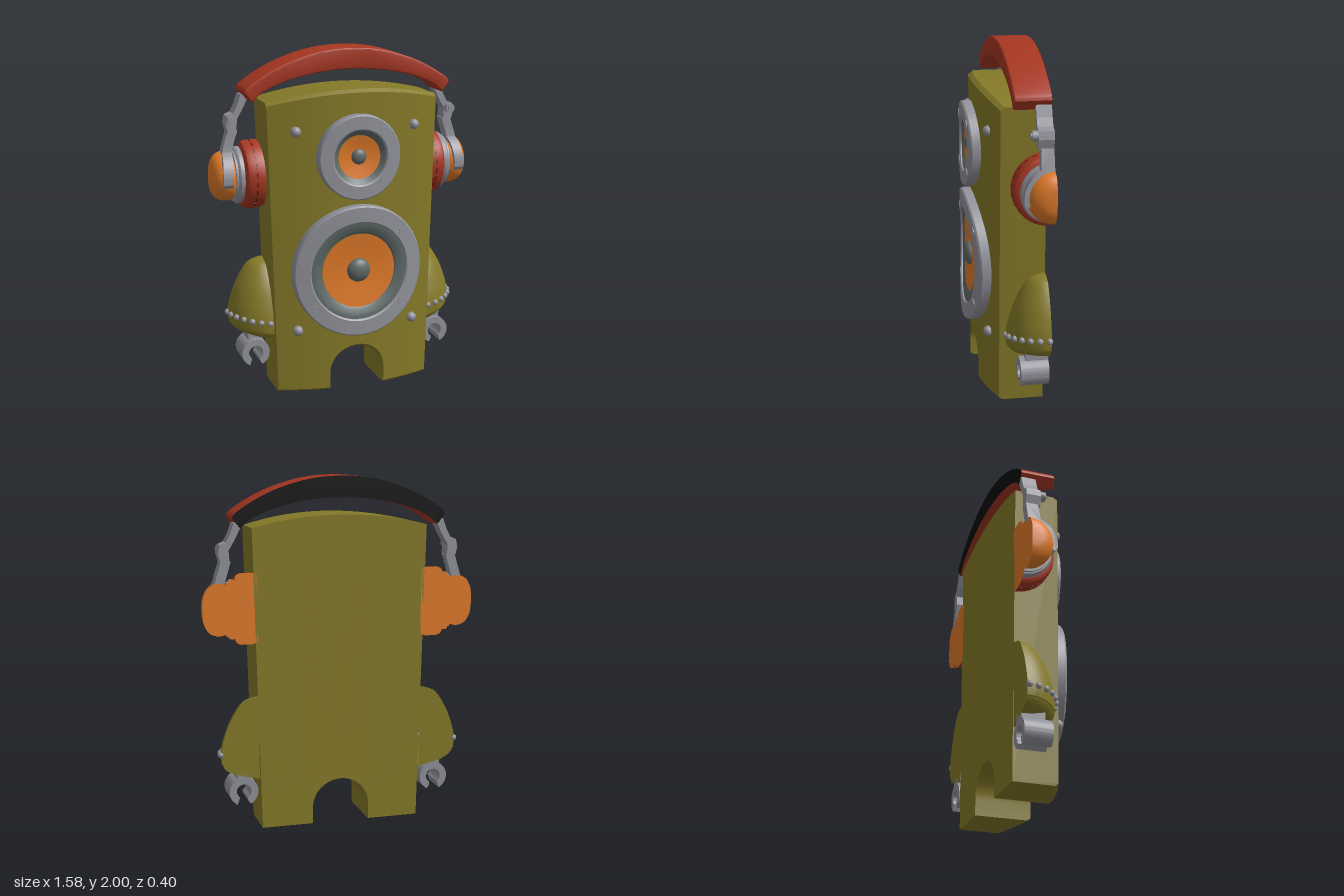
import * as THREE from 'three';
import { toCreasedNormals } from 'three/addons/utils/BufferGeometryUtils.js';

const BACK = -0.2; // flat back plane
const mat = (color) => new THREE.MeshStandardMaterial({ color, side: THREE.DoubleSide });
const V = (list) => list.map(([x, y]) => new THREE.Vector2(x, y));
const curve = (list, n = 24) => new THREE.SplineCurve(V(list)).getPoints(n);

function add(parent, name, geometry, material, x = 0, y = 0, z = 0) {
  const mesh = new THREE.Mesh(geometry, material);
  mesh.name = name;
  mesh.position.set(x, y, z);
  parent.add(mesh);
  return mesh;
}

// Move every vertex by a rule
function warp(geometry, rule) {
  const p = geometry.attributes.position, v = new THREE.Vector3();
  for (let i = 0; i < p.count; i++) {
    rule(v.fromBufferAttribute(p, i));
    p.setXYZ(i, v.x, v.y, v.z);
  }
  geometry.computeVertexNormals();
  return toCreasedNormals(geometry, 0.5);
}

// The front of the cabinet and everything on it bows back towards the sides
const bow = (x) => -0.34 * x * x;
const bend = (v) => { v.z += bow(v.x); };

// Cabinet: upright cross-sections lofted from one side to the other, with a leg arch
function cabinetGeometry() {
  const half = 0.465, arch = 0.167, columns = [];
  for (let i = 0; i <= 10; i++) columns.push([-half + (half - arch) * i / 10, 0]);
  for (let i = 0; i <= 24; i++) {
    const a = Math.PI * (1 - i / 24);
    columns.push([arch * Math.cos(a), 0.09 + arch * Math.sin(a)]);
  }
  for (let i = 0; i <= 10; i++) columns.push([arch + (half - arch) * i / 10, 0]);
  const pos = [], idx = [], n = 6;
  for (const [u, y0] of columns) {
    const y1 = 1.785 - 0.065 * (u / half) ** 2, zf = 0.14 + bow(u * 1.08);
    const loop = [[y0, BACK], [y0, zf - 0.02], [y0 + 0.015, zf], [y1 - 0.018, zf], [y1, zf - 0.025], [y1, BACK]];
    for (const [y, z] of loop) pos.push(u * (1 + 0.0968 * y / 1.72), y, z);
  }
  const last = (columns.length - 1) * n;
  for (let i = 0; i < last; i += n) {
    for (let j = 0; j < n; j++) {
      const k = (j + 1) % n;
      idx.push(i + j, i + n + j, i + n + k, i + j, i + n + k, i + k);
    }
  }
  for (let j = 1; j < n - 1; j++) idx.push(0, j, j + 1, last, last + j + 1, last + j);
  const g = new THREE.BufferGeometry();
  g.setAttribute('position', new THREE.Float32BufferAttribute(pos, 3));
  g.setIndex(idx);
  return toCreasedNormals(g, 0.5);
}

// Disc-like profile turned about the z axis, then bowed with the cabinet
function turned(points, segments = 72) {
  return warp(new THREE.LatheGeometry(points, segments).rotateX(Math.PI / 2), bend);
}

function extrude(points, depth) {
  return new THREE.ExtrudeGeometry(new THREE.Shape(points), { depth, bevelEnabled: false });
}

export function createModel() {
  const olive = mat(0x857a28), orange = mat(0xe07a28), red = mat(0xa83722);
  const grey = mat(0x92929b), dark = mat(0x5f6a68), black = mat(0x0a0a0a), seam = mat(0x4a140e);
  const model = new THREE.Group();
  add(model, 'cabinet', cabinetGeometry(), olive);

  // Speakers: radius, rim inner radius, cone radius, centre cap radius, bolt offsets
  const speakers = [['tweeter', 1.405, 0.245, 0.157, 0.125, 0.045, 0.143, 0.14],
    ['woofer', 0.735, 0.39, 0.29, 0.22, 0.07, 0.265, 0.215]];
  for (const [name, y, R, rim, cone, cap, bx, by] of speakers) {
    const g = new THREE.Group();
    g.name = name;
    g.position.y = y;
    model.add(g);
    add(g, 'rim', turned(V([[R, 0.13], [R, 0.188], [R - 0.008, 0.197], [rim + 0.008, 0.197], [rim, 0.19], [rim, 0.16]])), grey);
    add(g, 'surround', turned(curve([[rim, 0.182], [(rim + cone) / 2 + 0.01, 0.178], [cone + 0.01, 0.164], [cone, 0.155]], 10)), dark);
    add(g, 'cone', turned(V([[cone, 0.168], [cone * 0.6, 0.157], [0, 0.145]])), orange);
    add(g, 'centreCap', new THREE.SphereGeometry(cap, 32, 20).scale(1, 1, 0.6), dark, 0, 0, 0.15);
    for (const sx of [-1, 1]) for (const sy of [-1, 1]) {
      const bolt = new THREE.CylinderGeometry(0.029, 0.029, 0.02, 24).rotateX(Math.PI / 2);
      add(g, 'rimBolt', bolt, grey, sx * bx, sy * by, 0.191 + bow(bx)).rotation.y = sx * Math.atan(0.68 * bx);
    }
  }

  // Rivets at the cabinet corners
  for (const x of [-0.355, 0.355]) for (const y of [0.385, 1.56]) {
    add(model, 'cornerRivet', new THREE.SphereGeometry(0.03, 20, 14), grey, x, y, 0.14 + bow(x));
  }

  // Headband with a flat back
  const outer = curve([[-0.618, 1.775], [-0.6, 1.805], [-0.5, 1.87], [-0.36, 1.935], [-0.18, 1.985], [0, 2],
    [0.18, 1.985], [0.36, 1.935], [0.5, 1.87], [0.6, 1.805], [0.618, 1.775]], 50);
  const inner = curve([[0.575, 1.72], [0.5, 1.778], [0.36, 1.832], [0.18, 1.868], [0, 1.88],
    [-0.18, 1.868], [-0.36, 1.832], [-0.5, 1.778], [-0.575, 1.72]], 50);
  const band = new THREE.ExtrudeGeometry(new THREE.Shape([...outer, ...inner]), {
    depth: 0.19, bevelThickness: 0.012, bevelSize: 0.012, bevelOffset: -0.012, bevelSegments: 3 });
  add(model, 'headband', warp(band, (v) => { v.z = Math.max(v.z, 0); }), red, 0, 0, BACK);
  add(model, 'headbandBack', new THREE.ShapeGeometry(new THREE.Shape([...outer, ...inner])), black, 0, 0, BACK - 0.001);

  for (const side of [1, -1]) {
    const half = new THREE.Group();
    half.name = side > 0 ? 'leftSide' : 'rightSide';
    half.scale.x = side;
    model.add(half);

    // Shoulder dome, leaning up towards its outer edge
    const lean = (v) => { v.y += 0.2 * v.x * (0.772 - v.y) / 0.47; };
    const profile = [...V([[0, 0.295], [0.13, 0.295], [0.185, 0.315], [0.205, 0.335], [0.21, 0.35], [0.215, 0.352]]),
      ...curve([[0.222, 0.42], [0.207, 0.5], [0.168, 0.62], [0.105, 0.73], [0.05, 0.763], [0, 0.772]])];
    const dome = new THREE.LatheGeometry(profile, 36, -0.6, Math.PI / 2 + 0.6);
    add(half, 'arm', warp(dome, lean), olive, 0.48, 0, BACK);
    add(half, 'armBack', warp(new THREE.ShapeGeometry(new THREE.Shape(profile)), lean), olive, 0.48, 0, BACK);
    for (let i = 0; i < 7; i++) {
      const a = 0.08 + i * 0.24;
      const p = new THREE.Vector3(0.222 * Math.sin(a), 0.415, 0.222 * Math.cos(a));
      lean(p);
      add(half, 'armStud', new THREE.SphereGeometry(0.018, 14, 10), grey, p.x + 0.48, p.y, p.z + BACK);
    }

    // Gripping claw, open at the bottom
    const claw = new THREE.Shape();
    claw.absarc(0, 0, 0.083, -1.1, Math.PI + 1.1, false);
    claw.lineTo(-0.022, -0.05);
    claw.absarc(0, 0, 0.043, Math.PI + 0.95, -0.95, true);
    const clawGeo = new THREE.ExtrudeGeometry(claw, { depth: 0.16, bevelEnabled: false, curveSegments: 32 });
    add(half, 'claw', toCreasedNormals(clawGeo, 0.5), grey, 0.572, 0.225, BACK);
    add(half, 'wrist', new THREE.BoxGeometry(0.08, 0.06, 0.13), grey, 0.57, 0.31, BACK + 0.065);

    // Ear cup: half-turned about the sideways axis, [radius, distance out]
    const cup = new THREE.Group();
    cup.name = 'earCup';
    cup.position.set(0, 1.275, BACK);
    half.add(cup);
    const cushion = [[0, 0.48], [0.19, 0.48], [0.2, 0.51], [0.2, 0.575], [0.192, 0.598], [0.175, 0.61], [0.15, 0.612]];
    const plate = [[0.15, 0.608], [0.166, 0.612], [0.168, 0.635], [0.16, 0.645], [0.152, 0.646], [0.152, 0.658], [0.12, 0.66]];
    const shell = [[0.12, 0.652], [0.138, 0.66], [0.146, 0.69], [0.143, 0.725], [0.122, 0.76], [0.08, 0.783], [0.04, 0.79], [0, 0.791]];
    for (const [name, points, material] of [['cushion', V(cushion), red], ['cupPlate', V(plate), grey], ['cupShell', curve(shell), orange]]) {
      const g = new THREE.LatheGeometry(points, 40, -Math.PI / 2, Math.PI).rotateZ(-Math.PI / 2);
      add(cup, name, toCreasedNormals(g, 0.6), material);
    }
    const edge = [...cushion, ...plate, ...shell];
    const outline = [...edge.map(([r, d]) => [d, r]), ...edge.map(([r, d]) => [d, -r]).reverse()];
    add(cup, 'cupBack', new THREE.ShapeGeometry(new THREE.Shape(V(outline))), orange);
    for (let i = 0; i < 12; i++) {
      const a = (i + 0.5) * Math.PI / 12;
      add(cup, 'stitch', new THREE.BoxGeometry(0.006, 0.004, 0.03), seam, 0.55, 0.2 * Math.cos(a), 0.2 * Math.sin(a)).rotation.x = a;
    }

    // Hinged arm between headband and cup
    const link = [[0.56, 1.75], [0.61, 1.75], [0.632, 1.69], [0.655, 1.645], [0.69, 1.63], [0.7, 1.585],
      [0.685, 1.53], [0.635, 1.535], [0.64, 1.6], [0.605, 1.66]];
    add(half, 'bandLink', extrude(V(link), 0.085), grey, 0, 0, BACK);
    add(half, 'hingePin', new THREE.CylinderGeometry(0.028, 0.028, 0.115, 24).rotateX(Math.PI / 2), grey, 0.668, 1.602, BACK + 0.0575);
    add(half, 'hingeCap', new THREE.CylinderGeometry(0.016, 0.016, 0.01, 20).rotateX(Math.PI / 2), grey, 0.668, 1.602, BACK + 0.118);

    // Yoke curving around the shell, leaning inwards as it rises
    const yoke = new THREE.Shape();
    yoke.moveTo(0, 0.265);
    yoke.lineTo(0, 0.125);
    yoke.absarc(0, 0, 0.125, Math.PI / 2, -0.2, true);
    yoke.lineTo(0.145, -0.045);
    yoke.absarc(0, 0, 0.165, -0.15, 1.1, false);
    yoke.quadraticCurveTo(0.07, 0.17, 0.07, 0.265);
    const yokeGeo = new THREE.ExtrudeGeometry(yoke, { depth: 0.056, bevelEnabled: false, curveSegments: 24 });
    yokeGeo.rotateY(-Math.PI / 2);
    add(half, 'yoke', warp(yokeGeo, (v) => { v.x -= 0.75 * Math.max(v.y, 0) ** 2; }), grey, 0.738, 1.275, BACK);
  }
  return model;
}
